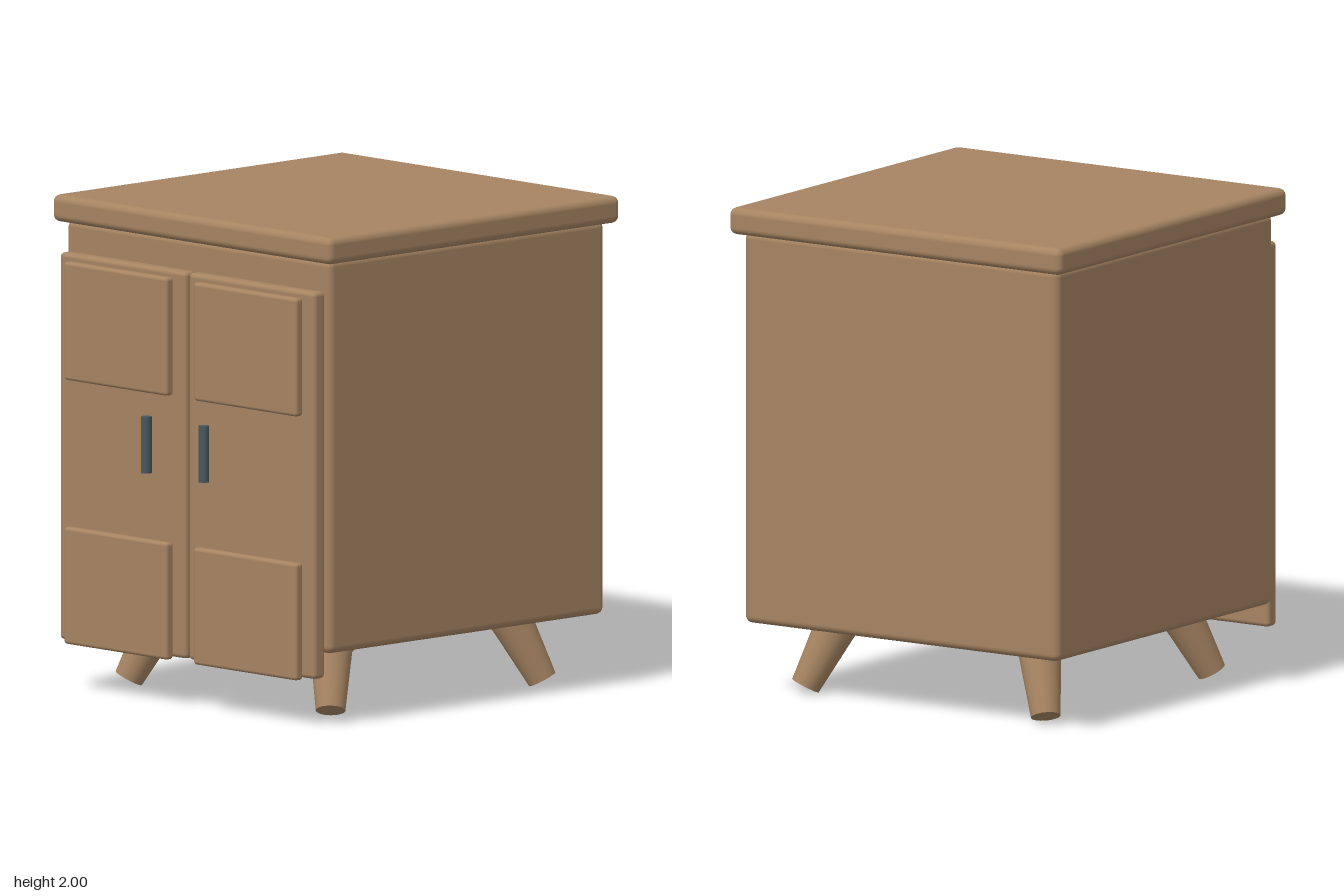
import * as THREE from 'three';
import { RoundedBoxGeometry } from 'three/addons/geometries/RoundedBoxGeometry.js';

const wood = new THREE.MeshStandardMaterial({ color: 0xa68462 });
wood.name = 'brown wood';
const metal = new THREE.MeshStandardMaterial({ color: 0x4b565b });
metal.name = 'dark metal';

// Rounded box given by its extents on each axis
function block(name, [x0, x1], [y0, y1], [z0, z1], radius) {
  const geometry = new RoundedBoxGeometry(x1 - x0, y1 - y0, z1 - z0, 4, radius);
  const mesh = new THREE.Mesh(geometry, wood);
  mesh.position.set((x0 + x1) / 2, (y0 + y1) / 2, (z0 + z1) / 2);
  mesh.name = name;
  return mesh;
}

// Tapered round leg between two points
function leg(name, bottom, top) {
  const axis = top.clone().sub(bottom);
  const mesh = new THREE.Mesh(new THREE.CylinderGeometry(0.09, 0.06, axis.length(), 32), wood);
  mesh.position.copy(bottom).add(top).multiplyScalar(0.5);
  mesh.quaternion.setFromUnitVectors(new THREE.Vector3(0, 1, 0), axis.normalize());
  mesh.name = name;
  return mesh;
}

export function createModel() {
  const group = new THREE.Group();
  group.name = 'cabinet';

  group.add(block('body', [-0.77, 0.765], [0.295, 1.9], [-0.822, 0.72], 0.03));
  group.add(block('top', [-0.813, 0.81], [1.89, 2], [-0.867, 0.762], 0.03));

  for (const side of [-1, 1]) {
    const word = side > 0 ? 'left' : 'right';
    // Mirror an x range about the gap between the doors
    const range = (a, b) => (side > 0 ? [a, b] : [-b, -a]).map((x) => x - 0.003);

    // Door with two raised panels and a bar handle
    const door = new THREE.Group();
    door.name = word + 'Door';
    door.add(block('doorBoard', range(0.008, 0.743), [0.196, 1.773], [0.717, 0.78], 0.018));
    door.add(block('upperPanel', range(0.077, 0.677), [1.264, 1.746], [0.777, 0.82], 0.014));
    door.add(block('lowerPanel', range(0.077, 0.677), [0.188, 0.665], [0.777, 0.82], 0.014));
    const handle = new THREE.Mesh(new THREE.CylinderGeometry(0.022, 0.022, 0.23, 24), metal);
    handle.position.set(side * 0.167 - 0.003, 1.06, 0.845);
    handle.name = 'handle';
    door.add(handle);
    group.add(door);

    // Splayed legs
    for (const [end, zBottom, zTop] of [['Front', 0.54, 0.438], ['Back', -0.642, -0.543]]) {
      group.add(leg(word + end + 'Leg',
        new THREE.Vector3(side * 0.587 - 0.003, 0.028, zBottom),
        new THREE.Vector3(side * 0.486 - 0.003, 0.3, zTop)));
    }
  }
  return group;
}
